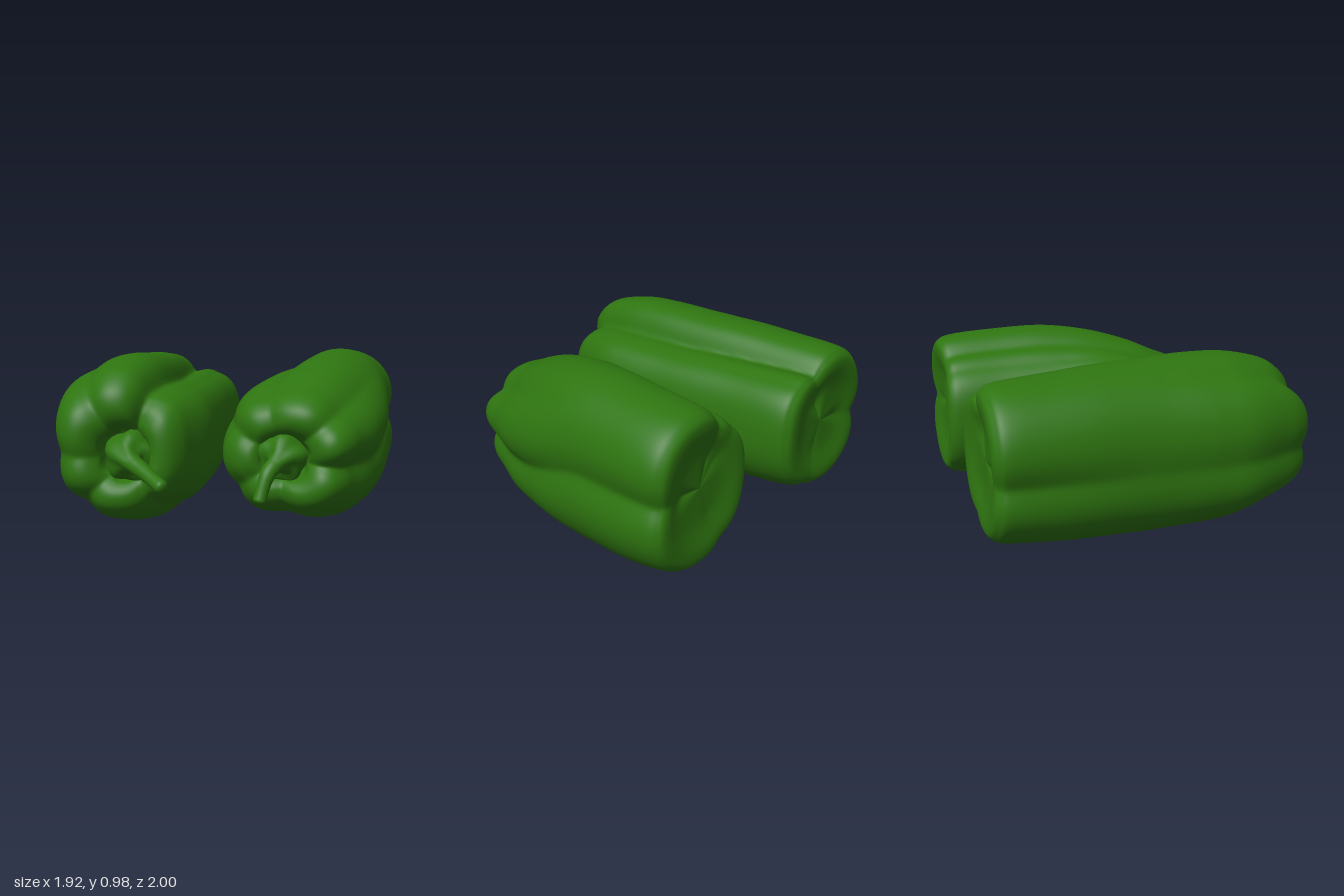
import * as THREE from 'three';
import { mergeVertices } from 'three/addons/utils/BufferGeometryUtils.js';

const green = new THREE.MeshStandardMaterial({ color: 0x2e7410 });
green.name = 'pepperGreen';
const { lerp, clamp, smoothstep, degToRad } = THREE.MathUtils;

// End profiles as [z offset, scale about the core]
const backCap = [[-0.075, 0], [-0.085, 0.42], [-0.115, 0.76], [-0.095, 0.92]];
const frontCap = [[0.1, 0.89], [0.17, 0.73], [0.185, 0.54], [0.145, 0.38], [0.06, 0.28], [0.04, 0]];

// Catmull-Rom interpolation through rows of numbers
function sample(rows, t) {
  const f = t * (rows.length - 1), i = Math.min(Math.floor(f), rows.length - 2), k = f - i;
  const row = (j) => rows[clamp(j, 0, rows.length - 1)];
  const [a, b, c, d] = [row(i - 1), row(i), row(i + 1), row(i + 2)];
  return b.map((p, n) => p + 0.5 * k * (c[n] - a[n]
    + k * (2 * a[n] - 5 * p + 4 * c[n] - d[n] + k * (3 * (p - c[n]) + d[n] - a[n]))));
}

function smooth(geometry) {
  geometry.deleteAttribute('normal');
  geometry.deleteAttribute('uv');
  const merged = mergeVertices(geometry, 1e-5);
  merged.computeVertexNormals();
  return merged;
}

// Sections shrinking from one end section towards a core point
function capRows([z, x0, x1, y0, y1], [x, y], profile) {
  return profile.map(([dz, s]) => [z + dz, lerp(x, x0, s), lerp(x, x1, s), lerp(y, y0, s), lerp(y, y1, s)]);
}

// Body: rounded sections along z, pinched by creases into lobes.
// sections: [z, xMin, xMax, yMin, yMax]
// creases: [back angle, front angle, back depth, middle depth, front depth]
// turn: the stretch of the body over which creases swing to their front angle
function bodyGeometry({ sections, backCore, frontCore, creases, frontAngles, turn, tilt }) {
  const NU = 130, NV = 128, pos = [], index = [];
  const last = sections[sections.length - 1];
  const rows = [...capRows(sections[0], backCore, backCap), ...sections, ...capRows(last, frontCore, frontCap)];
  const folds = [...creases, ...frontAngles.map((a) => [a, a, 0, 0, 0.13])];
  for (let u = 0; u <= NU; u++) {
    const t = u / NU;
    const [z, x0, x1, y0, y1] = sample(rows, t);
    const cx = (x0 + x1) / 2, cy = (y0 + y1) / 2;
    const rx = Math.max(0, (x1 - x0) / 2), ry = Math.max(0, (y1 - y0) / 2);
    const along = t > 0.67 ? 1 : clamp((z + 1) / (last[0] + 1.1), 0, 1);
    const swing = smoothstep(along, ...turn);
    const frontEnd = smoothstep(t, 0.55, 0.8), backEnd = 1 - smoothstep(t, 0.15, 0.3);
    for (let v = 0; v < NV; v++) {
      const a = (v / NV) * Math.PI * 2, c = Math.cos(a), s = Math.sin(a);
      let pinch = 0;
      for (const [a0, a1, d0, d1, d2] of folds) {
        const off = a - degToRad(lerp(a0, a1, swing));
        const dist = Math.abs(Math.atan2(Math.sin(off), Math.cos(off)));
        const depth = along < 0.5 ? lerp(d0, d1, along * 2) : lerp(d1, d2, along * 2 - 1);
        pinch += depth * Math.exp(-Math.pow(dist / 0.26, 1.5));
      }
      const round = Math.pow(Math.abs(c) ** 2.3 + Math.abs(s) ** 2.3, -1 / 2.3);
      const ripple = 1 + 0.006 * Math.sin(5 * z + 3 * a) * Math.sin(7 * z - 2 * a);
      const r = round * ripple * (1 - pinch);
      const x = cx + rx * r * c, y = cy + ry * r * s;
      const sink = pinch * Math.min(1, rx / 0.15);
      pos.push(x, y, z + frontEnd * (tilt * (x - cx) - 0.3 * sink) + backEnd * 0.12 * sink);
      if (u < NU) {
        const p = u * NV + v, q = u * NV + (v + 1) % NV;
        index.push(p, q, p + NV, q, q + NV, p + NV);
      }
    }
  }
  const g = new THREE.BufferGeometry();
  g.setAttribute('position', new THREE.Float32BufferAttribute(pos, 3));
  g.setIndex(index);
  return smooth(g);
}

// Stem: tapered tube with a rounded tip, flaring into a ridged calyx at its base
const stemRadii = [0.15, 0.14, 0.12, 0.07, 0.05, 0.045, 0.042, 0.038, 0.036, 0.036, 0.036].map((r) => [r]);
function stemGeometry(points) {
  const N = 80, M = 30;
  const curve = new THREE.CatmullRomCurve3(points.map((p) => new THREE.Vector3(...p)));
  const g = new THREE.TubeGeometry(curve, N, 1, M);
  const p = g.attributes.position, v = new THREE.Vector3();
  for (let i = 0; i < p.count; i++) {
    const t = Math.floor(i / (M + 1)) / N, a = ((i % (M + 1)) / M) * Math.PI * 2;
    const ridge = 1 + 0.1 * (1 - smoothstep(t, 0.2, 0.5)) * Math.sin(5 * a + 6 * t);
    const tip = Math.sqrt(Math.max(0, 1 - (Math.max(0, t - 0.94) / 0.06) ** 2));
    const centre = curve.getPointAt(t);
    v.fromBufferAttribute(p, i).sub(centre).multiplyScalar(sample(stemRadii, t)[0] * ridge * tip).add(centre);
    p.setXYZ(i, v.x, v.y, v.z);
  }
  return smooth(g);
}

function makePepper(name, spec) {
  const pepper = new THREE.Group();
  pepper.name = name;
  const body = new THREE.Mesh(bodyGeometry(spec), green);
  body.name = 'body';
  const stem = new THREE.Mesh(stemGeometry(spec.stem), green);
  stem.name = 'stem';
  pepper.add(body, stem);
  return pepper;
}

export function createModel() {
  const model = new THREE.Group();
  model.name = 'twoBellPeppers';
  // Straight pepper
  model.add(makePepper('rightPepper', {
    sections: [
      [-0.88, -0.965, -0.105, 0.08, 0.93], [-0.5, -0.955, -0.095, 0.04, 0.955], [-0.1, -0.945, -0.075, 0.02, 0.97],
      [0.2, -0.965, -0.06, 0.01, 0.98], [0.4, -0.965, -0.065, 0.025, 0.975], [0.6, -0.905, -0.13, 0.07, 0.93],
    ],
    backCore: [-0.53, 0.5], frontCore: [-0.45, 0.44], turn: [-0.4, 0.7], tilt: -0.18,
    creases: [
      [77, 57, 0.27, 0.25, 0.25, 0.3], [50, 42, 0.08, 0.07, 0.05],
      [188, 187, 0.14, 0.05, 0.09], [285, 305, 0.06, 0.02, 0.13],
    ],
    frontAngles: [122, 235],
    stem: [[-0.45, 0.44, 0.63], [-0.43, 0.44, 0.77], [-0.33, 0.4, 0.86], [-0.185, 0.335, 0.99]],
  }));
  // Bent pepper
  model.add(makePepper('leftPepper', {
    sections: [
      [-0.88, 0.23, 0.99, 0.07, 0.955], [-0.6, 0.205, 0.975, 0.02, 0.98], [-0.3, 0.15, 0.955, 0, 0.985],
      [-0.05, 0.055, 0.94, 0.005, 0.955], [0.2, -0.02, 0.885, 0.02, 0.885], [0.38, -0.005, 0.805, 0.07, 0.81],
    ],
    backCore: [0.6, 0.52], frontCore: [0.35, 0.42], turn: [0.35, 0.75], tilt: 0.22,
    creases: [
      [3, -12, 0.18, 0.14, 0.18], [116, 112, 0.16, 0.13, 0.1], [138, 130, 0.1, 0.08, 0],
      [240, 262, 0.06, 0.02, 0.13],
    ],
    frontAngles: [45, 155, 215],
    stem: [[0.35, 0.42, 0.42], [0.34, 0.415, 0.53], [0.29, 0.36, 0.61], [0.245, 0.2, 0.67]],
  }));
  return model;
}
